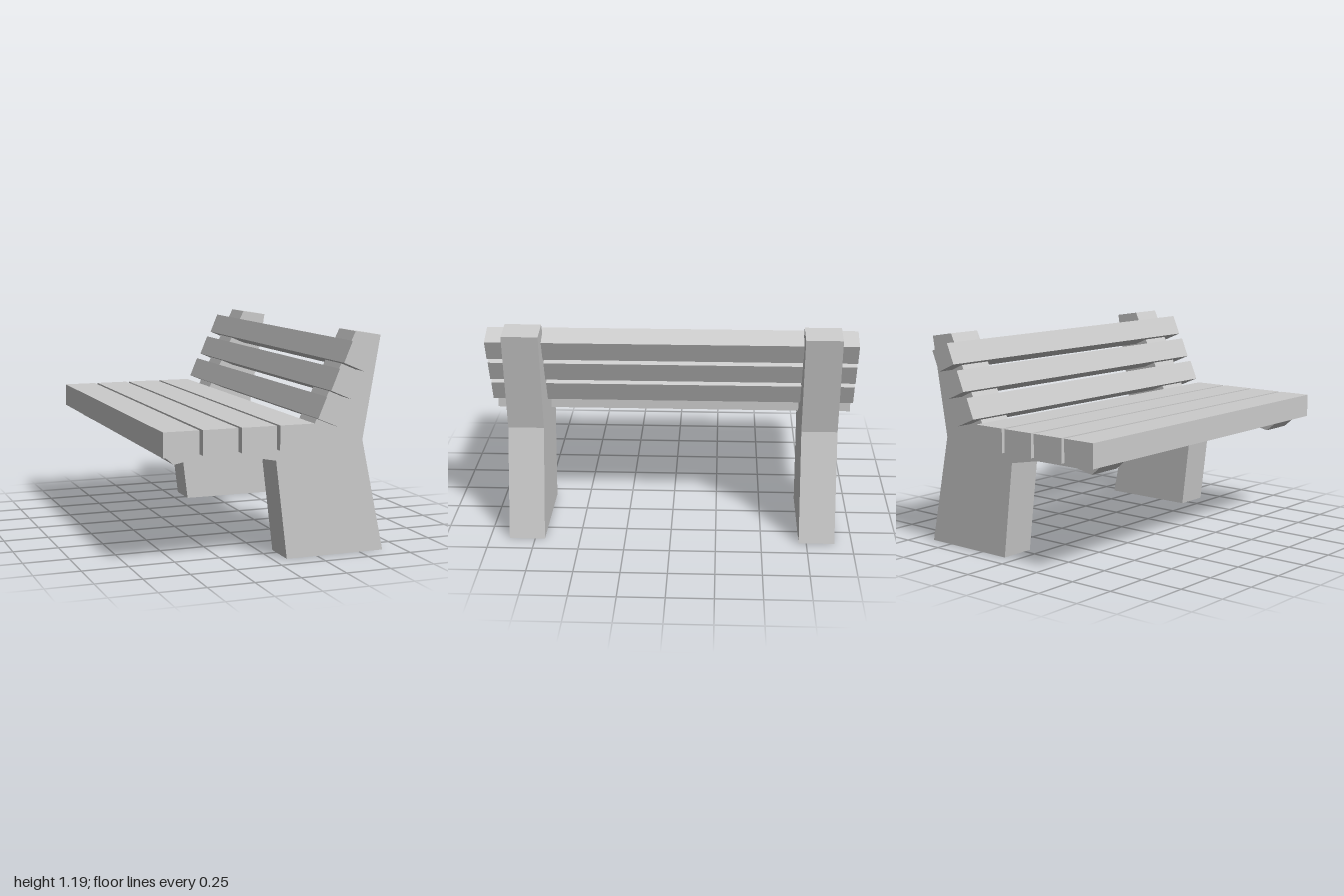
import * as THREE from 'three';

const material = new THREE.MeshStandardMaterial({ color: 0xcccccc, flatShading: true });

function add(parent, geometry, name, x, y, z) {
  const mesh = new THREE.Mesh(geometry, material);
  mesh.name = name;
  mesh.position.set(x, y, z);
  parent.add(mesh);
  return mesh;
}

export function createModel() {
  const bench = new THREE.Group();
  bench.name = 'bench';

  // Side supports: leg, seat arm and back post in one slab
  const profile = new THREE.Shape([
    [0.075, 0], [0.638, 0], [0.506, 0.612], [0.602, 1.167], [0.456, 1.19],
    [0.204, 0.666], [0.17, 0.66], [-0.61, 0.66], [-0.62, 0.605], [-0.55, 0.545],
    [-0.45, 0.565], [-0.175, 0.565], [0.01, 0.53],
  ].map(([x, y]) => new THREE.Vector2(x, y)));
  const thickness = 0.196;
  const supportGeometry = new THREE.ExtrudeGeometry(profile, { depth: thickness, bevelEnabled: false });
  supportGeometry.translate(0, 0, -thickness / 2);
  for (const z of [-0.806, 0.794]) add(bench, supportGeometry, 'support', 0, 0, z);

  // Seat planks
  const seatGeometry = new THREE.BoxGeometry(0.19, 0.131, 2);
  for (let i = 0; i < 4; i++) add(bench, seatGeometry, 'seatPlank', -0.546 + i * 0.209, 0.667, 0);

  // Backrest planks, tilted with the posts
  const backGeometry = new THREE.BoxGeometry(0.126, 0.121, 2);
  for (let i = 0; i < 3; i++) {
    const plank = add(bench, backGeometry, 'backPlank', 0.279 + i * 0.071, 0.787 + i * 0.1415, 0);
    plank.rotation.z = -0.4;
  }
  return bench;
}
